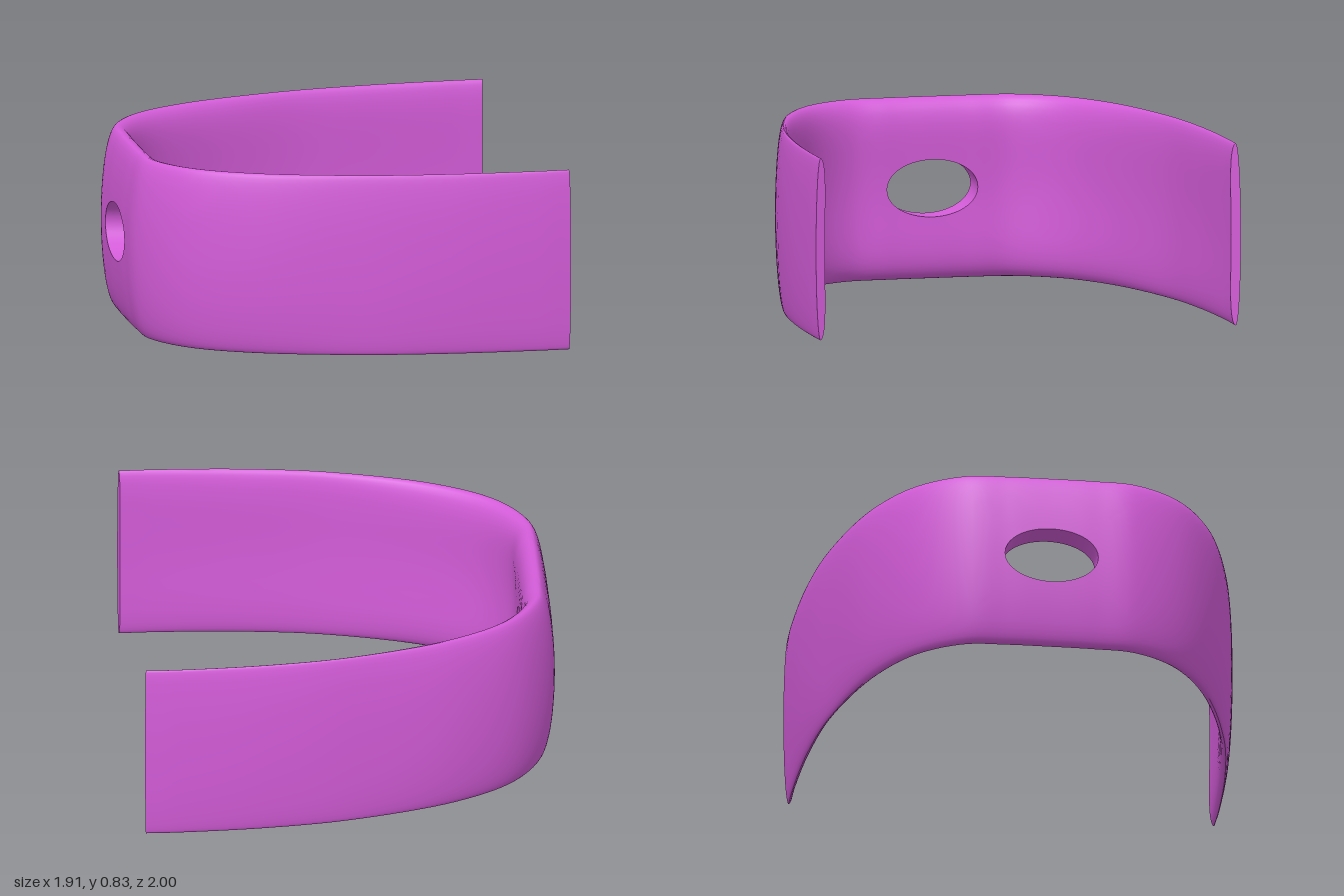
import * as THREE from 'three';
import { toCreasedNormals } from 'three/addons/utils/BufferGeometryUtils.js';

const HALF_H = 0.4175;   // half height of the band
const SPAN = 8;          // path parameter u runs from -SPAN to SPAN
const NU = 128, NV = 28; // grid cells along and across the band

// Half outlines [x, z] seen from above, mirrored in z to make the full U
const outerHalf = [[-0.957, 0], [-0.955, 0.2], [-0.938, 0.39], [-0.79, 0.62], [-0.5, 0.8],
  [0, 0.933], [0.4, 0.987], [0.8, 1], [0.955, 0.996]];
const innerHalf = [[-0.81, 0], [-0.807, 0.2], [-0.79, 0.38], [-0.68, 0.555], [-0.44, 0.715],
  [0, 0.868], [0.4, 0.925], [0.8, 0.949], [0.945, 0.95]];

function mirroredCurve(half) {
  const pts = half.map(([x, z]) => new THREE.Vector3(x, 0, z));
  const other = half.slice(1).reverse().map(([x, z]) => new THREE.Vector3(x, 0, -z));
  return new THREE.CatmullRomCurve3([...other, ...pts]);
}

function buildBand() {
  const outer = mirroredCurve(outerHalf), inner = mirroredCurve(innerHalf);
  const pos = [];

  // Point on the outer or inner face: a lens section swept along the U
  function point(isOuter, u, v) {
    const t = (u + SPAN) / (2 * SPAN);
    const o = outer.getPoint(t), i = inner.getPoint(t);
    const bulge = Math.sqrt(Math.max(0, 1 - v * v)) * (isOuter ? 1 : 0.9 + v * v);
    const p = o.clone().add(i).multiplyScalar(0.5);
    p.lerp(isOuter ? o : i, bulge);
    p.y = HALF_H * (1 + v);
    return p;
  }
  function quad(a, b, c, d, flip) {
    const order = flip ? [a, c, b, a, d, c] : [a, b, c, a, c, d];
    order.forEach(p => pos.push(p.x, p.y, p.z));
  }

  const us = Array.from({ length: NU + 1 }, (_, k) => -SPAN + (2 * SPAN * k) / NU);
  const vs = Array.from({ length: NV + 1 }, (_, k) => Math.sin(Math.PI * (k / NV - 0.5)));

  // Grid window around the hole, and its perimeter in order
  const u0 = NU / 2 - 14, u1 = NU / 2 + 14, v0 = NV / 2 - 6, v1 = NV / 2 + 6;
  const rim = [];
  for (let i = u0; i < u1; i++) rim.push([us[i], vs[v0]]);
  for (let j = v0; j < v1; j++) rim.push([us[u1], vs[j]]);
  for (let i = u1; i > u0; i--) rim.push([us[i], vs[v1]]);
  for (let j = v1; j > v0; j--) rim.push([us[u0], vs[j]]);
  const hole = rim.map(([u, v]) => {
    const a = Math.atan2(v / vs[v1], u / us[u1]);
    return [1.07 * Math.cos(a) - 0.02, 0.315 * Math.sin(a) + 0.01];
  });
  const mix = (k, s) => [0, 1].map(c => rim[k][c] + (hole[k][c] - rim[k][c]) * s);

  for (const isOuter of [true, false]) {
    // Face grid without the window
    const grid = us.map(u => vs.map(v => point(isOuter, u, v)));
    for (let i = 0; i < NU; i++) for (let j = 0; j < NV; j++) {
      if (i >= u0 && i < u1 && j >= v0 && j < v1) continue;
      quad(grid[i][j], grid[i + 1][j], grid[i + 1][j + 1], grid[i][j + 1], !isOuter);
    }
    // Rings from the window to the oval hole
    const RINGS = 5;
    for (let r = 0; r < RINGS; r++) for (let k = 0; k < rim.length; k++) {
      const n = (k + 1) % rim.length, s = r / RINGS, e = (r + 1) / RINGS;
      const [a, b, c, d] = [mix(k, s), mix(n, s), mix(n, e), mix(k, e)]
        .map(q => point(isOuter, q[0], q[1]));
      quad(a, b, c, d, !isOuter);
    }
  }

  // Tunnel wall through the hole
  hole.forEach((q, k) => {
    const n = hole[(k + 1) % hole.length];
    quad(point(true, ...q), point(true, ...n), point(false, ...n), point(false, ...q), false);
  });

  // End caps
  for (const u of [-SPAN, SPAN]) for (let j = 0; j < NV; j++) {
    quad(point(true, u, vs[j]), point(true, u, vs[j + 1]),
      point(false, u, vs[j + 1]), point(false, u, vs[j]), u > 0);
  }

  const geo = new THREE.BufferGeometry();
  geo.setAttribute('position', new THREE.Float32BufferAttribute(pos, 3));
  return toCreasedNormals(geo, 0.7);
}

export function createModel() {
  const group = new THREE.Group();
  group.name = 'curvedBracket';
  const band = new THREE.Mesh(buildBand(), new THREE.MeshStandardMaterial({ color: 0xd45cd9 }));
  band.name = 'bandWithHole';
  group.add(band);
  return group;
}
